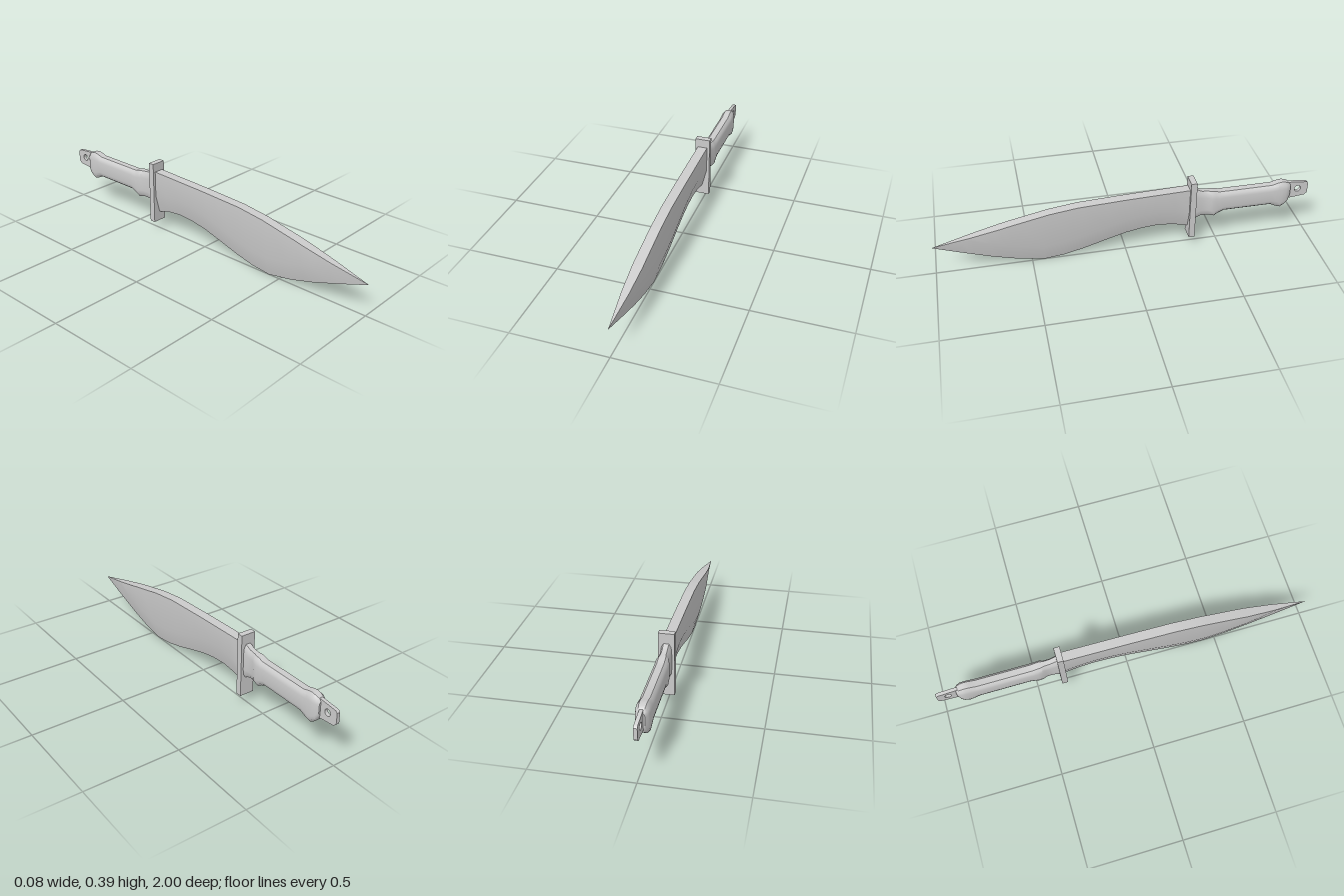
import * as THREE from 'three';
import { toCreasedNormals } from 'three/addons/utils/BufferGeometryUtils.js';

const material = new THREE.MeshStandardMaterial({ color: 0xcccccc });

// Linear lookup in a list of [z, value] pairs sorted by rising z
function sample(pairs, z) {
  for (let i = 1; i < pairs.length; i++) {
    const [z0, v0] = pairs[i - 1], [z1, v1] = pairs[i];
    if (z <= z1) return v0 + (v1 - v0) * (z - z0) / (z1 - z0);
  }
  return pairs[pairs.length - 1][1];
}

// Skin closed rings (counter-clockwise seen from +z, ordered by rising z)
function loft(rings, crease) {
  const pos = [], n = rings[0].length, last = rings.length - 1;
  const tri = (...pts) => pts.forEach(p => pos.push(...p));
  for (let i = 0; i < last; i++) {
    for (let j = 0; j < n; j++) {
      const k = (j + 1) % n;
      const a = rings[i][j], b = rings[i][k], c = rings[i + 1][k], d = rings[i + 1][j];
      tri(a, b, c);
      tri(a, c, d);
    }
  }
  for (let j = 1; j < n - 1; j++) {
    tri(rings[0][0], rings[0][j + 1], rings[0][j]);
    tri(rings[last][0], rings[last][j], rings[last][j + 1]);
  }
  const geo = new THREE.BufferGeometry();
  geo.setAttribute('position', new THREE.Float32BufferAttribute(pos, 3));
  return toCreasedNormals(geo, crease);
}

// Blade: flat sides, a bevel down to the cutting edge, tapering to the tip
function bladeGeometry() {
  const spine = [[-0.35, 0.348], [0, 0.337], [0.25, 0.325], [0.4, 0.305], [0.6, 0.263], [0.8, 0.216], [1, 0.17]];
  const edge = [[-0.35, 0.102], [-0.26, 0.125], [-0.18, 0.133], [-0.09, 0.126], [0, 0.109], [0.09, 0.083],
    [0.22, 0.043], [0.33, 0.016], [0.435, 0.004], [0.57, 0.027], [0.7, 0.063], [0.85, 0.114], [1, 0.168]];
  const width = [[-0.35, 0.026], [0.65, 0.026], [0.8, 0.019], [1, 0.0005]];
  const stations = [...new Set([...spine, ...edge, ...width].map(p => p[0]))].sort((a, b) => a - b);
  return loft(stations.map(z => {
    const s = sample(spine, z), e = sample(edge, z), w = sample(width, z);
    const bevel = e + Math.min(0.1, (s - e) * 0.9);
    return [[0, e, z], [w, bevel, z], [w, s, z], [-w, s, z], [-w, bevel, z]];
  }), 0.5);
}

// Grip: rounded sides with flat top and bottom; rows are z, top, bottom, half width
function gripGeometry() {
  const rows = [
    [-0.898, 0.298, 0.222, 0.018], [-0.885, 0.312, 0.192, 0.028], [-0.87, 0.319, 0.178, 0.033],
    [-0.848, 0.323, 0.165, 0.034], [-0.825, 0.32, 0.173, 0.034], [-0.79, 0.31, 0.19, 0.034],
    [-0.53, 0.31, 0.19, 0.034], [-0.5, 0.31, 0.176, 0.034], [-0.478, 0.317, 0.161, 0.034],
    [-0.455, 0.32, 0.168, 0.033], [-0.44, 0.321, 0.17, 0.026], [-0.405, 0.325, 0.17, 0.025],
    [-0.385, 0.335, 0.161, 0.026], [-0.365, 0.343, 0.152, 0.027]
  ];
  const quarter = [[1, 0.5], [0.88, 0.8], [0.5, 1]];
  const outline = [
    ...quarter,
    ...quarter.map(([x, y]) => [-x, y]).reverse(),
    ...quarter.map(([x, y]) => [-x, -y]),
    ...quarter.map(([x, y]) => [x, -y]).reverse()
  ];
  return loft(rows.map(([z, top, bottom, w]) =>
    outline.map(([x, y]) => [x * w, (top + bottom) / 2 + y * (top - bottom) / 2, z])), 0.65);
}

// Tang: thin plate with clipped corners and a lanyard hole, drawn in (-z, y)
function tangGeometry() {
  const shape = new THREE.Shape([
    [0.85, 0.205], [0.9, 0.21], [0.985, 0.219], [1, 0.233], [1, 0.291], [0.99, 0.301], [0.9, 0.31], [0.85, 0.31]
  ].map(p => new THREE.Vector2(...p)));
  const hole = new THREE.Path();
  hole.absarc(0.943, 0.264, 0.018, 0, Math.PI * 2, true);
  shape.holes.push(hole);
  const geo = new THREE.ExtrudeGeometry(shape, { depth: 0.018, bevelEnabled: false, curveSegments: 10 });
  geo.translate(0, 0, -0.009);
  geo.rotateY(Math.PI / 2);
  return toCreasedNormals(geo, 0.7);
}

export function createModel() {
  const group = new THREE.Group();
  const add = (name, geometry) => {
    const mesh = new THREE.Mesh(geometry, material);
    mesh.name = name;
    group.add(mesh);
  };
  add('blade', bladeGeometry());
  add('guard', new THREE.BoxGeometry(0.08, 0.342, 0.032).translate(0, 0.224, -0.355));
  add('grip', gripGeometry());
  add('tang', tangGeometry());
  return group;
}
